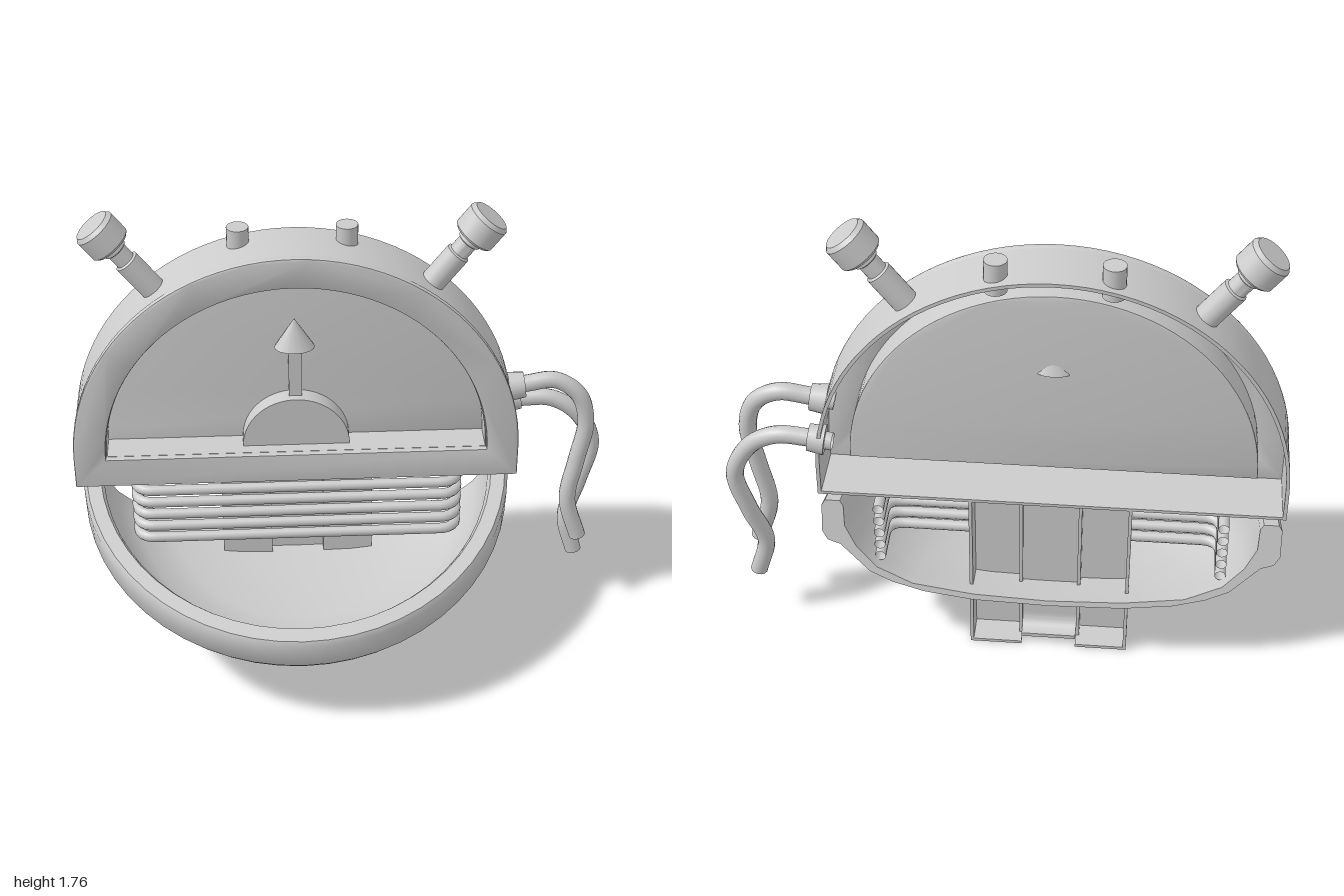
import * as THREE from 'three';
import { toCreasedNormals } from 'three/addons/utils/BufferGeometryUtils.js';

const material = new THREE.MeshStandardMaterial({ color: 0xcccccc, side: THREE.DoubleSide });
const CX = -0.17; // centre line of the gauge

export function createModel() {
  const model = new THREE.Group();
  model.name = 'gauge';
  const body = new THREE.Group();
  body.name = 'gaugeBody';
  body.position.x = CX;
  model.add(body);

  const add = (parent, name, geometry, x = 0, y = 0, z = 0) => {
    const mesh = new THREE.Mesh(geometry, material);
    mesh.name = name;
    mesh.position.set(x, y, z);
    parent.add(mesh);
    return mesh;
  };
  const box = (parent, name, x0, x1, y0, y1, z0, z1) =>
    add(parent, name, new THREE.BoxGeometry(x1 - x0, y1 - y0, z1 - z0),
      (x0 + x1) / 2, (y0 + y1) / 2, (z0 + z1) / 2);

  // Half disc of radius r about y = 0.8, with straight sides down to "bottom"
  const arch = (r, bottom, Type = THREE.Shape) => {
    const s = new Type();
    if (bottom < 0.8) s.moveTo(r, bottom).lineTo(r, 0.8);
    s.absarc(0, 0.8, r, 0, Math.PI, false);
    if (bottom < 0.8) s.lineTo(-r, bottom);
    s.closePath();
    return s;
  };
  const extrude = (shape, depth, bevel = 0) => toCreasedNormals(new THREE.ExtrudeGeometry(shape, {
    depth: depth - 2 * bevel, curveSegments: 24, bevelEnabled: bevel > 0,
    bevelThickness: bevel, bevelSize: bevel, bevelOffset: -bevel, bevelSegments: 2,
  }).translate(0, 0, bevel), 0.6);
  const ring = (outer, inner) => {
    outer.holes.push(inner);
    return outer;
  };

  // Domed housing: front frame, outer wall, recess wall and dial plate
  add(body, 'frontFrame', extrude(ring(arch(0.83, 0.68), arch(0.71, 0.8, THREE.Path)), 0.03, 0.008), 0, 0, -0.2);
  add(body, 'outerWall', extrude(ring(arch(0.828, 0.681), arch(0.815, 0.693, THREE.Path)), 0.23), 0, 0, -0.41);
  add(body, 'recessWall', extrude(ring(arch(0.72, 0.79), arch(0.707, 0.802, THREE.Path)), 0.125), 0, 0, -0.32);
  add(body, 'dialPlate', extrude(arch(0.72, 0.79), 0.015, 0.005), 0, 0, -0.325);

  // Hub and pointer
  add(body, 'pointerHub', extrude(arch(0.2, 0.8), 0.07), 0, 0, -0.31);
  box(body, 'pointerShaft', -0.024, 0.024, 0.98, 1.21, -0.31, -0.27);
  add(body, 'pointerHead', new THREE.ConeGeometry(0.075, 0.12, 16).scale(1, 1, 0.7), 0, 1.26, -0.29);

  // Angled knobs and small posts on top
  const knobProfile = [[0, -0.3], [0.046, -0.3], [0.046, -0.13], [0.037, -0.125], [0.037, -0.075],
    [0.045, -0.07], [0.045, -0.05], [0.07, -0.05], [0.08, -0.04], [0.08, 0.04], [0.068, 0.055], [0, 0.055]]
    .map(([r, y]) => new THREE.Vector2(r, y));
  for (const side of [-1, 1]) {
    const knob = add(body, side > 0 ? 'leftKnob' : 'rightKnob',
      toCreasedNormals(new THREE.LatheGeometry(knobProfile, 24), 0.6), side * 0.67, 1.67, -0.3);
    knob.rotation.z = -side * 0.66;
    add(body, 'topPost', new THREE.CylinderGeometry(0.04, 0.04, 0.12, 20), side * 0.195, 1.61, -0.345);
  }

  // Cables with grommets on the left side
  const cables = [
    [[0.6, 1.0, -0.28], [0.7, 1.02, -0.28], [0.8, 1.03, -0.28], [0.89, 0.97, -0.27], [0.925, 0.85, -0.265],
      [0.9, 0.68, -0.26], [0.875, 0.5, -0.255], [0.925, 0.325, -0.25]],
    [[0.6, 0.89, -0.37], [0.7, 0.9, -0.365], [0.8, 0.9, -0.36], [0.9, 0.84, -0.35], [0.967, 0.71, -0.35],
      [0.93, 0.53, -0.34], [0.885, 0.37, -0.32], [0.925, 0.21, -0.31]],
  ];
  for (const points of cables) {
    const curve = new THREE.CatmullRomCurve3(points.map((p) => new THREE.Vector3(...p)));
    add(model, 'cable', new THREE.TubeGeometry(curve, 48, 0.032, 14));
    const end = add(model, 'cableEnd', new THREE.CircleGeometry(0.032, 14), ...points[7]);
    end.quaternion.setFromUnitVectors(new THREE.Vector3(0, 0, 1), curve.getTangent(1));
    const [, y, z] = points[0];
    const grommet = add(model, 'cableGrommet', new THREE.CylinderGeometry(0.048, 0.055, 0.06, 20), 0.655, y + 0.01, z);
    grommet.rotation.z = -Math.PI / 2 + 0.12;
  }

  // Stack of bent rods below the housing
  for (let i = 0; i < 5; i++) {
    const y = 0.62 - i * 0.055, w = 0.615, r = 0.07, front = -0.22;
    const v = (x, z) => new THREE.Vector3(x, y, z);
    const path = new THREE.CurvePath();
    path.add(new THREE.LineCurve3(v(-w, -0.41), v(-w, front - r)));
    path.add(new THREE.QuadraticBezierCurve3(v(-w, front - r), v(-w, front), v(-w + r, front)));
    path.add(new THREE.LineCurve3(v(-w + r, front), v(w - r, front)));
    path.add(new THREE.QuadraticBezierCurve3(v(w - r, front), v(w, front), v(w, front - r)));
    path.add(new THREE.LineCurve3(v(w, front - r), v(w, -0.41)));
    add(body, 'rod', new THREE.TubeGeometry(path, 80, 0.02, 10));
  }

  // Stand: two open-backed legs joined by a set-back panel with a curled foot
  const t = 0.012;
  for (const side of [-1, 1]) {
    const leg = new THREE.Group();
    leg.name = side > 0 ? 'leftLeg' : 'rightLeg';
    leg.position.x = side * 0.195;
    body.add(leg);
    box(leg, 'legFront', -0.095, 0.095, 0, 0.685, -0.295 - t, -0.295);
    for (const [name, edge, back] of [['legOuterWall', 0.095, -0.41], ['legInnerWall', -0.095, -0.36]]) {
      const x = side * (edge - Math.sign(edge) * t / 2);
      box(leg, name, x - t / 2, x + t / 2, 0, 0.685, back, -0.295);
    }
    box(leg, 'legFloor', -0.095, 0.095, 0, t, -0.41, -0.295);
  }
  const panel = new THREE.Shape();
  panel.moveTo(0.325, 0.685).lineTo(0.325, 0.1);
  panel.quadraticCurveTo(0.325, 0.03, 0.4, 0.03);
  panel.lineTo(0.4, 0.045).quadraticCurveTo(0.34, 0.045, 0.34, 0.1).lineTo(0.34, 0.685).closePath();
  add(body, 'standPanel', extrude(panel, 0.2).rotateY(Math.PI / 2), -0.1);

  // Tilted half bowl, open at the back
  const profile = [[0, -0.38], [0.33, -0.373], [0.55, -0.35], [0.69, -0.318], [0.79, -0.28], [0.92, -0.175],
    [0.975, -0.16], [1, -0.125], [1, -0.02], [0.985, 0], [0.92, 0], [0.905, -0.02], [0.9, -0.1],
    [0.85, -0.18], [0.76, -0.26], [0.6, -0.32], [0.33, -0.35], [0, -0.36]]
    .map(([r, y]) => new THREE.Vector2(r * 0.82, y));
  const bowl = new THREE.Group();
  bowl.name = 'bowl';
  bowl.position.set(0, 0.64, -0.395);
  bowl.rotation.x = 0.232;
  body.add(bowl);
  add(bowl, 'bowlShell', toCreasedNormals(
    new THREE.LatheGeometry(profile, 28, -Math.PI / 2, Math.PI).scale(1, 1, 1.104), 0.75));
  for (const side of [-1, 1]) {
    const section = new THREE.Shape(profile.map((p) => new THREE.Vector2(side * p.x, p.y)));
    add(bowl, 'bowlBackEdge', new THREE.ShapeGeometry(section).rotateY(0));
  }
  return model;
}
